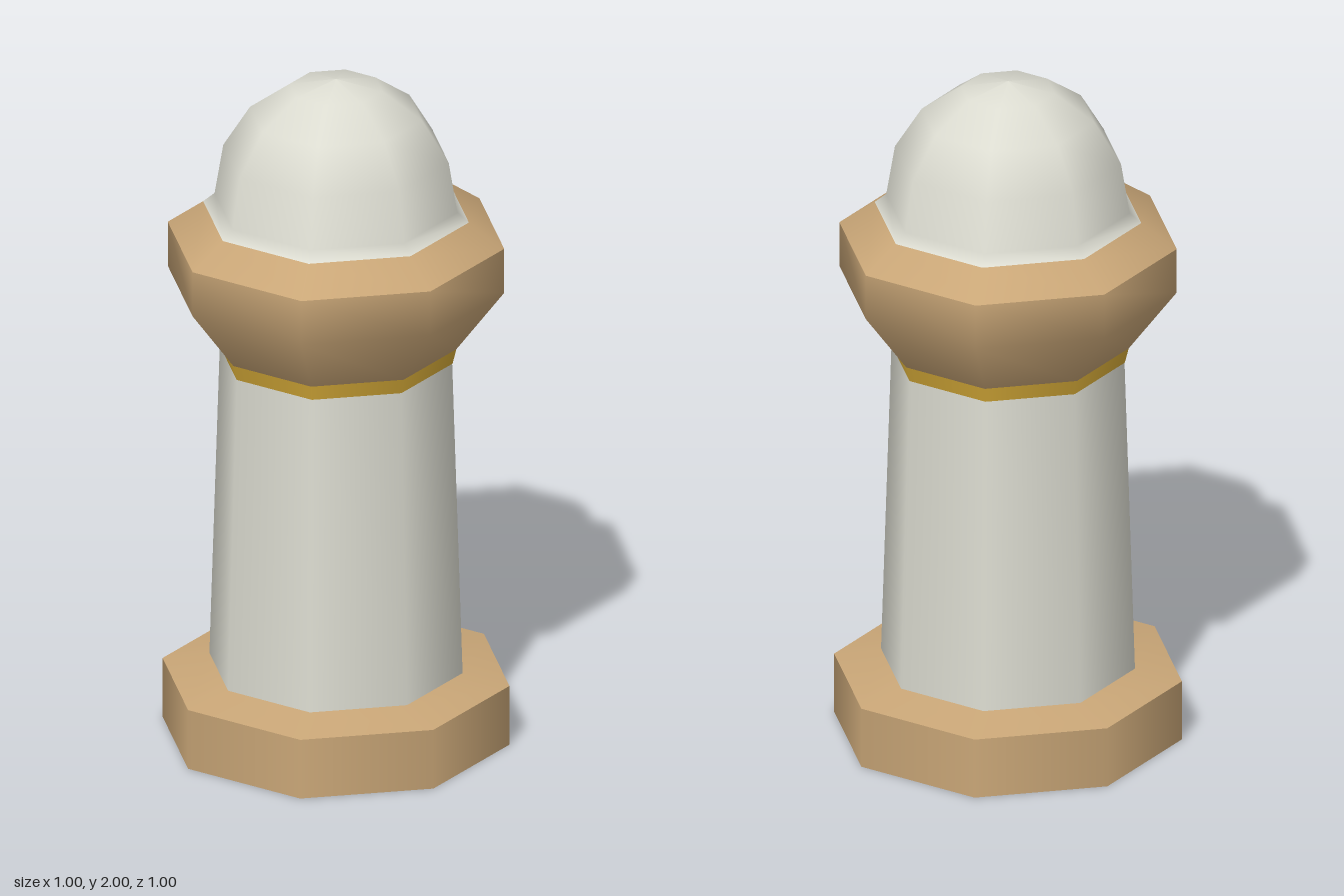
import * as THREE from 'three';

const SIDES = 8;

export function createModel() {
  const group = new THREE.Group();
  group.name = 'bollardTower';

  const material = (name, color) => {
    const m = new THREE.MeshStandardMaterial({ color });
    m.name = name;
    return m;
  };
  const sand = material('sandstone', 0xc9a677);
  const white = material('offWhite', 0xdcdcd1);
  const gold = material('gold', 0xd4a937);

  // Octagonal turned part; profile runs bottom to top as [radius, height].
  const turned = (name, mat, profile) => {
    const points = profile.map(([r, y]) => new THREE.Vector2(r, y));
    const mesh = new THREE.Mesh(new THREE.LatheGeometry(points, SIDES), mat);
    mesh.name = name;
    group.add(mesh);
  };

  // Plinth, in three pieces so its rims stay sharp
  turned('plinthUnderside', sand, [[0, 0], [0.5, 0]]);
  turned('plinthSide', sand, [[0.5, 0], [0.5, 0.18]]);
  turned('plinthTop', sand, [[0.5, 0.18], [0.365, 0.208]]);

  // Tapering shaft and the gold ring at its neck
  turned('shaft', white, [[0.365, 0.208], [0.335, 1.155]]);
  turned('neckRing', gold, [[0.336, 1.155], [0.347, 1.2]]);

  // Flared collar with a sharp upper rim
  turned('collar', sand, [[0.347, 1.2], [0.485, 1.385], [0.485, 1.52]]);
  turned('collarTop', sand, [[0.485, 1.52], [0.383, 1.592]]);

  // Dome with a short skirt that carries on the collar slope
  turned('dome', white, [
    [0.383, 1.592], [0.35, 1.62], [0.325, 1.77], [0.248, 1.893], [0.134, 1.973], [0, 2],
  ]);

  return group;
}
